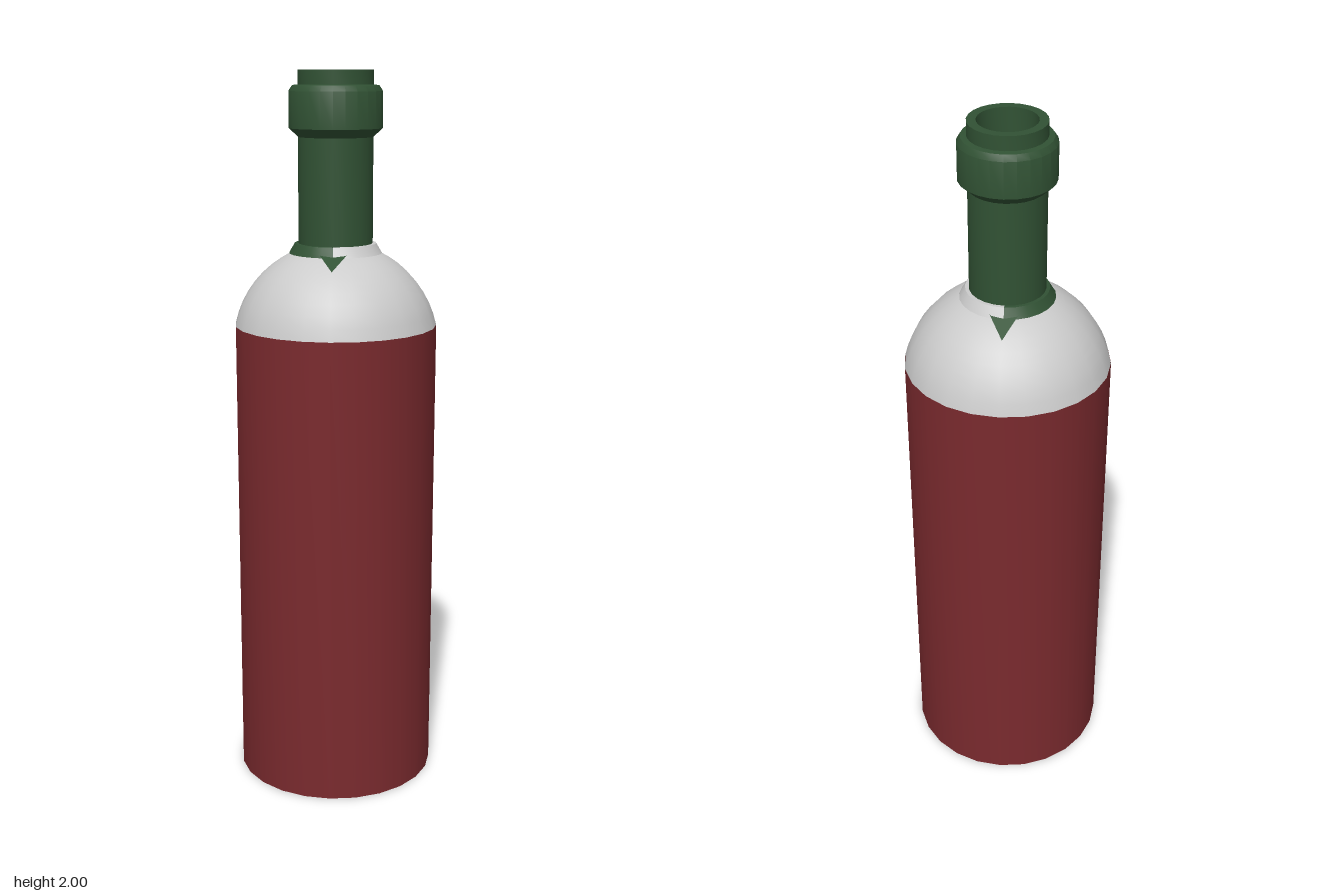
import * as THREE from 'three';
import { toCreasedNormals } from 'three/addons/utils/BufferGeometryUtils.js';

const GREY = 0xcccccc, RED = 0x7a2a2e, GREEN = 0x315234;
const SIDES = 24;

export function createModel() {
  const bottle = new THREE.Group();
  bottle.name = 'bottle';

  const add = (name, geometry, color) => {
    const material = new THREE.MeshStandardMaterial({ color, side: THREE.DoubleSide });
    const mesh = new THREE.Mesh(geometry, material);
    mesh.name = name;
    bottle.add(mesh);
    return mesh;
  };

  // Turned part from [radius, height] pairs, with sharp edges kept
  const turned = (name, color, profile, start = 0, length = Math.PI * 2) => {
    const points = profile.map(([r, y]) => new THREE.Vector2(r, y));
    const segments = Math.round(SIDES * length / (Math.PI * 2));
    const geometry = new THREE.LatheGeometry(points, segments, start, length);
    return add(name, toCreasedNormals(geometry, 0.6), color);
  };

  // Straight body with a flat base
  turned('body', RED, [[0, 0], [0.28, 0], [0.28, 1.315]]);

  // Domed shoulder: arc of a circle running up to the neck
  const dome = [];
  for (let i = 0; i <= 8; i++) {
    const a = THREE.MathUtils.lerp(0.21, 1.136, i / 8);
    dome.push([0.286 * Math.cos(a), 1.255 + 0.286 * Math.sin(a)]);
  }
  dome.push([0.1, 1.52]);
  turned('shoulder', GREY, dome);

  // Flared collar: bare glass on one half, foil on the other
  const collar = [[0.128, 1.513], [0.122, 1.523], [0.112, 1.54], [0.1, 1.54]];
  turned('glassCollar', GREY, collar, 0, Math.PI);
  turned('foilCollar', GREEN, collar, Math.PI, Math.PI);

  // Neck with a bevelled band near the top and a hollow mouth
  turned('neck', GREEN, [
    [0.102, 1.515], [0.102, 1.825],
    [0.127, 1.848], [0.127, 1.945], [0.117, 1.96], [0.102, 1.962],
    [0.102, 2], [0.078, 2], [0.078, 1.93], [0, 1.93],
  ]);

  // Pointed foil tabs lying on the shoulder, front and back
  for (const [name, turn] of [['frontTab', 0], ['backTab', Math.PI]]) {
    const geometry = new THREE.BufferGeometry();
    geometry.setAttribute('position', new THREE.Float32BufferAttribute([
      -0.038, 1.522, 0.115, 0, 1.484, 0.182, 0.038, 1.522, 0.115,
    ], 3));
    geometry.computeVertexNormals();
    add(name, geometry, GREEN).rotation.y = turn;
  }

  return bottle;
}
